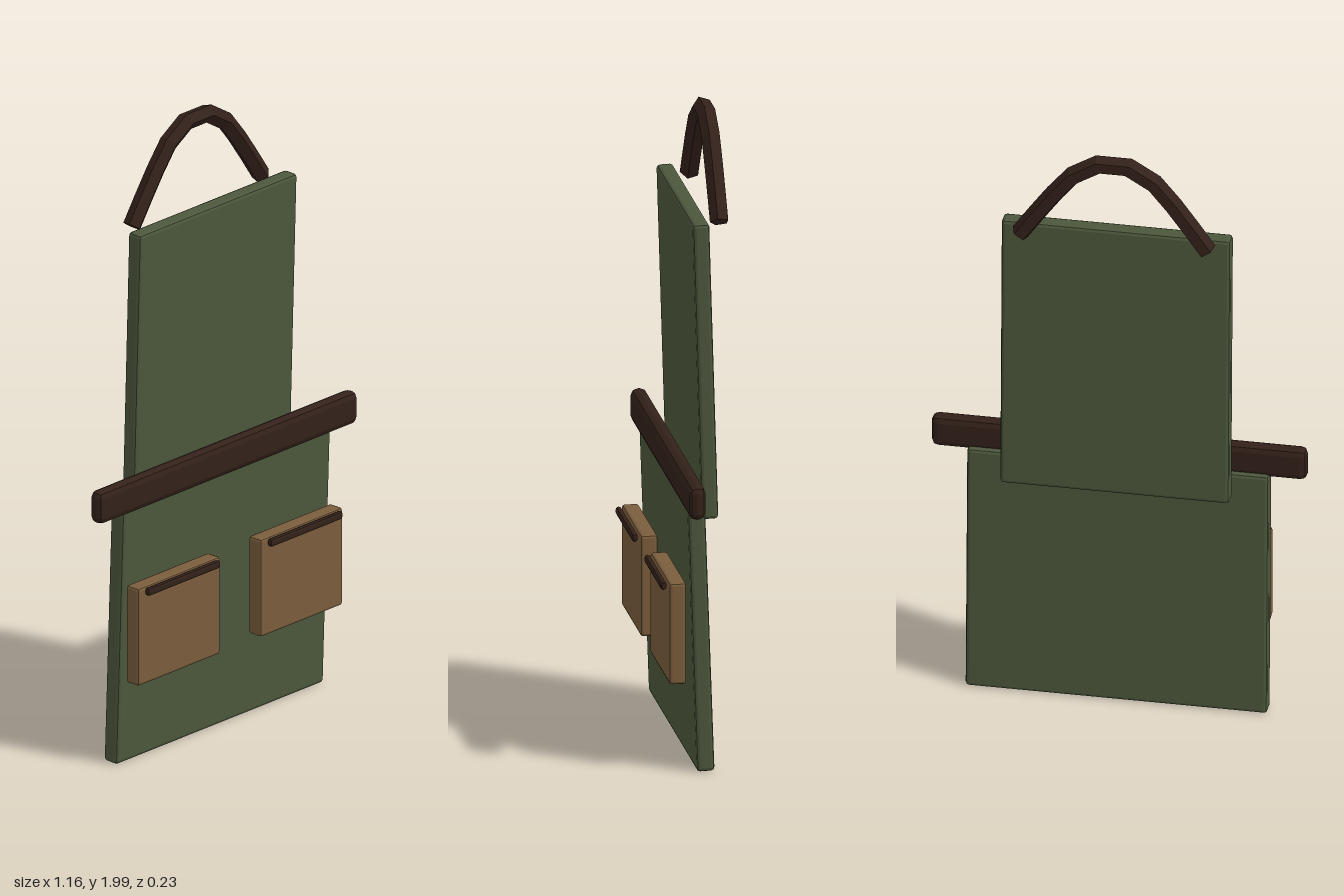
import * as THREE from 'three';
import { RoundedBoxGeometry } from 'three/addons/geometries/RoundedBoxGeometry.js';

const material = (color) => new THREE.MeshStandardMaterial({ color, flatShading: true });

export function createModel() {
  const model = new THREE.Group();
  model.name = 'apron';
  const cloth = material(0x4c573c);
  const leather = material(0x33211a);
  const canvas = material(0x7a5d3c);

  // Slab with softly bevelled edges
  function slab(name, mat, [w, h, d], [x, y, z], bevel, tilt = 0) {
    const mesh = new THREE.Mesh(new RoundedBoxGeometry(w, h, d, 1, bevel), mat);
    mesh.name = name;
    mesh.position.set(x, y, z);
    mesh.rotation.x = tilt;
    model.add(mesh);
  }

  // Cloth panels, both leaning slightly forward at the top
  slab('skirt', cloth, [0.935, 0.84, 0.055], [0, 0.422, -0.008], 0.011, 0.035);
  slab('bib', cloth, [0.71, 0.935, 0.052], [0, 1.236, -0.04], 0.011, 0.03);

  // Waist belt
  slab('belt', leather, [1.164, 0.107, 0.05], [0, 0.882, 0.02], 0.021);

  // Pockets with a trim strip in front of the upper edge
  for (const [side, s] of [['left', 1], ['right', -1]]) {
    slab(side + 'Pocket', canvas, [0.37, 0.32, 0.053], [s * 0.276, 0.44, 0.063], 0.009);
    slab(side + 'PocketTrim', leather, [0.325, 0.026, 0.018], [s * 0.276, 0.587, 0.103], 0.008);
  }

  // Neck strap: a five-sided arch with open ends closed by flat caps
  const half = [[0.29, 1.692], [0.2, 1.822], [0.12, 1.922]];
  const points = [
    ...half.map(([x, y]) => [-x, y]),
    [0, 1.977],
    ...half.slice().reverse(),
  ].map(([x, y]) => new THREE.Vector3(x, y, -0.093));
  const arch = new THREE.CatmullRomCurve3(points);
  const strapMaterial = leather.clone();
  strapMaterial.side = THREE.DoubleSide;
  const strap = new THREE.Group();
  strap.name = 'neckStrap';
  const loop = new THREE.Mesh(new THREE.TubeGeometry(arch, 9, 0.03, 5), strapMaterial);
  loop.name = 'strapLoop';
  strap.add(loop);
  for (const [side, t] of [['right', 0], ['left', 1]]) {
    const cap = new THREE.Mesh(new THREE.CircleGeometry(0.03, 5), strapMaterial);
    cap.name = side + 'StrapEnd';
    // Local x (a pentagon corner) points forward, local z follows the strap
    const tangent = arch.getTangentAt(t);
    const forward = new THREE.Vector3(0, 0, 1);
    const across = new THREE.Vector3().crossVectors(tangent, forward);
    cap.quaternion.setFromRotationMatrix(new THREE.Matrix4().makeBasis(forward, across, tangent));
    cap.position.copy(arch.getPointAt(t));
    strap.add(cap);
  }
  model.add(strap);

  return model;
}
